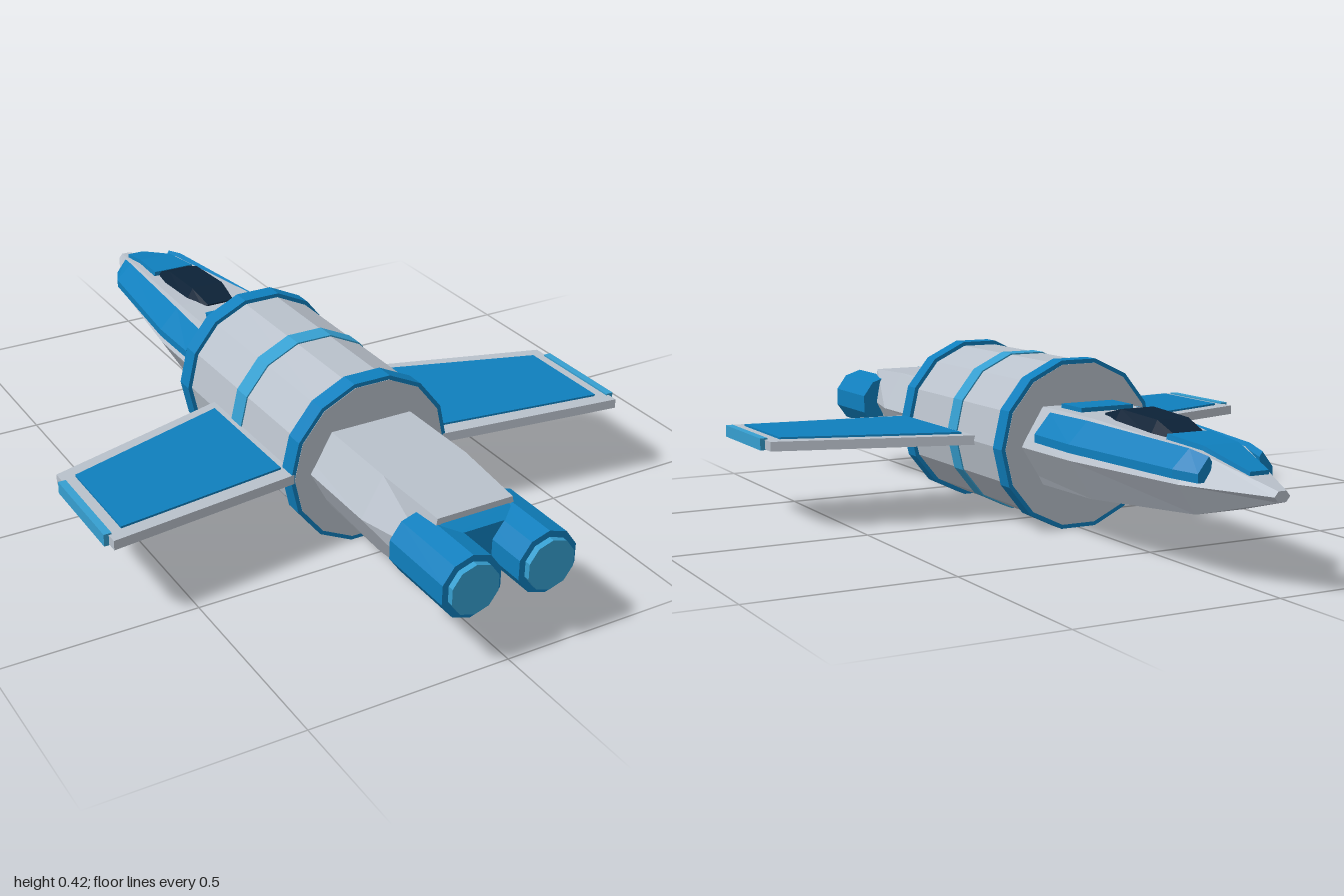
import * as THREE from 'three';

const CY = 0.212; // height of the long axis

const mat = (name, color) => {
  const m = new THREE.MeshStandardMaterial({ color });
  m.name = name;
  m.flatShading = true;
  return m;
};

// Closed loft through sections { z, pts }, pts counter-clockwise seen from +z, z rising
function loft(sections) {
  const pos = [];
  const n = sections[0].pts.length;
  const put = (s, i) => pos.push(s.pts[i % n][0], s.pts[i % n][1], s.z);
  for (let k = 0; k < sections.length - 1; k++) {
    const a = sections[k], b = sections[k + 1];
    for (let i = 0; i < n; i++) {
      put(a, i); put(a, i + 1); put(b, i + 1);
      put(a, i); put(b, i + 1); put(b, i);
    }
  }
  const first = sections[0], last = sections[sections.length - 1];
  for (let i = 1; i < n - 1; i++) {
    put(first, 0); put(first, i + 1); put(first, i);
    put(last, 0); put(last, i); put(last, i + 1);
  }
  const g = new THREE.BufferGeometry();
  g.setAttribute('position', new THREE.Float32BufferAttribute(pos, 3));
  g.computeVertexNormals();
  return g;
}

// Section shapes
const hex = (z, wide, flat, top, bottom, mid = CY + 0.004) => ({
  z, pts: [[wide, mid], [flat, top], [-flat, top], [-wide, mid], [-flat, bottom], [flat, bottom]],
});
const slab = (z, wBottom, wTop, y0, y1) => ({
  z, pts: [[wBottom, y0], [wTop, y1], [-wTop, y1], [-wBottom, y0]],
});

// Cylinder along z between two depths
function drum(r, z0, z1, sides, turn = 0) {
  const g = new THREE.CylinderGeometry(r, r, z1 - z0, sides);
  g.rotateY(turn);
  g.rotateX(Math.PI / 2);
  g.translate(0, CY, (z0 + z1) / 2);
  return g;
}

// Flat plate from an [x, z] outline, mirrored by s
function plate(outline, s, y0, y1) {
  const shape = new THREE.Shape(outline.map(([x, z]) => new THREE.Vector2(x * s, z)));
  const g = new THREE.ExtrudeGeometry(shape, { depth: y1 - y0, bevelEnabled: false });
  g.rotateX(Math.PI / 2);
  g.translate(0, y1, 0);
  return g;
}

export function createModel() {
  const model = new THREE.Group();
  model.name = 'spaceship';
  const grey = mat('hullGrey', 0xb9c1cb);
  const blue = mat('panelBlue', 0x0f7fbd);
  const light = mat('lightBlue', 0x369fd0);
  const navy = mat('canopyNavy', 0x0c2237);
  const add = (name, geometry, material, x = 0) => {
    const m = new THREE.Mesh(geometry, material);
    m.name = name;
    m.position.x = x;
    model.add(m);
  };

  // Six-sided hull from nose to tail
  add('hull', loft([
    hex(-1, 0.02, 0.01, 0.228, 0.204),
    hex(-0.78, 0.112, 0.065, 0.285, 0.146),
    hex(-0.4, 0.16, 0.1, 0.312, 0.12),
    hex(0.65, 0.165, 0.11, 0.314, 0.114),
    hex(0.85, 0.115, 0.098, 0.305, 0.123),
  ]), grey);
  add('tailCap', loft([
    hex(0.85, 0.11, 0.09, 0.29, 0.138),
    hex(0.885, 0.1, 0.08, 0.276, 0.16),
  ]), blue);

  // Fourteen-sided centre section with its bands
  const turn = Math.PI / 2;
  add('centreSection', drum(0.206, -0.169, 0.421, 14, turn), grey);
  add('frontBand', drum(0.2165, -0.168, -0.122, 14, turn), blue);
  add('rearBand', drum(0.2165, 0.373, 0.42, 14, turn), blue);
  add('middleBand', drum(0.2095, 0.1, 0.15, 14, turn), light);

  // Nose panel, canopy and rear hatch
  add('nosePanel', loft([
    slab(-0.92, 0.026, 0.024, 0.24, 0.258),
    slab(-0.78, 0.05, 0.047, 0.275, 0.296),
    slab(-0.655, 0.062, 0.058, 0.285, 0.306),
  ]), blue);
  add('canopy', loft([
    slab(-0.655, 0.05, 0.04, 0.285, 0.304),
    slab(-0.59, 0.062, 0.042, 0.29, 0.328),
    slab(-0.44, 0.066, 0.045, 0.3, 0.335),
    slab(-0.36, 0.05, 0.038, 0.3, 0.316),
  ]), navy);
  const hatch = new THREE.BoxGeometry(0.145, 0.02, 0.095);
  hatch.translate(0, 0.313, -0.257);
  add('rearHatch', hatch, blue);

  const wing = [[0.15, -0.015], [0.69, 0.15], [0.69, 0.48], [0.15, 0.413]];
  const inlay = [[0.222, 0.04], [0.655, 0.18], [0.655, 0.44], [0.222, 0.382]];
  const tip = [[0.683, 0.19], [0.702, 0.19], [0.702, 0.452], [0.683, 0.452]];

  for (const s of [1, -1]) {
    const side = s > 0 ? 'left' : 'right';

    // Raised panel on the upper slope of the nose
    const cheek = (z, xo, xi, y0, y1) => {
      const pts = [[xo - 0.03, y0], [xo, y0], [xo, y0 + 0.02], [xi + 0.008, y1], [xi, y1 - 0.012]];
      return { z, pts: s > 0 ? pts : pts.map(([x, y]) => [-x, y]).reverse() };
    };
    add(side + 'NosePanel', loft([
      cheek(-0.835, 0.098, 0.062, 0.226, 0.282),
      cheek(-0.775, 0.124, 0.072, 0.23, 0.292),
      cheek(-0.4, 0.163, 0.104, 0.235, 0.307),
      cheek(-0.24, 0.165, 0.114, 0.238, 0.308),
    ]), blue);

    // Wing, its inlays and tip rail
    add(side + 'Wing', plate(wing, s, 0.202, 0.226), grey);
    add(side + 'WingTopInlay', plate(inlay, s, 0.224, 0.231), blue);
    add(side + 'WingBottomInlay', plate(inlay, s, 0.198, 0.204), blue);
    add(side + 'WingTipRail', plate(tip, s, 0.2, 0.23), light);

    // Engine and nozzle
    add(side + 'Engine', drum(0.078, 0.78, 0.985, 10), blue, s * 0.098);
    add(side + 'Nozzle', drum(0.062, 0.97, 1, 10), light, s * 0.098);
  }

  return model;
}
